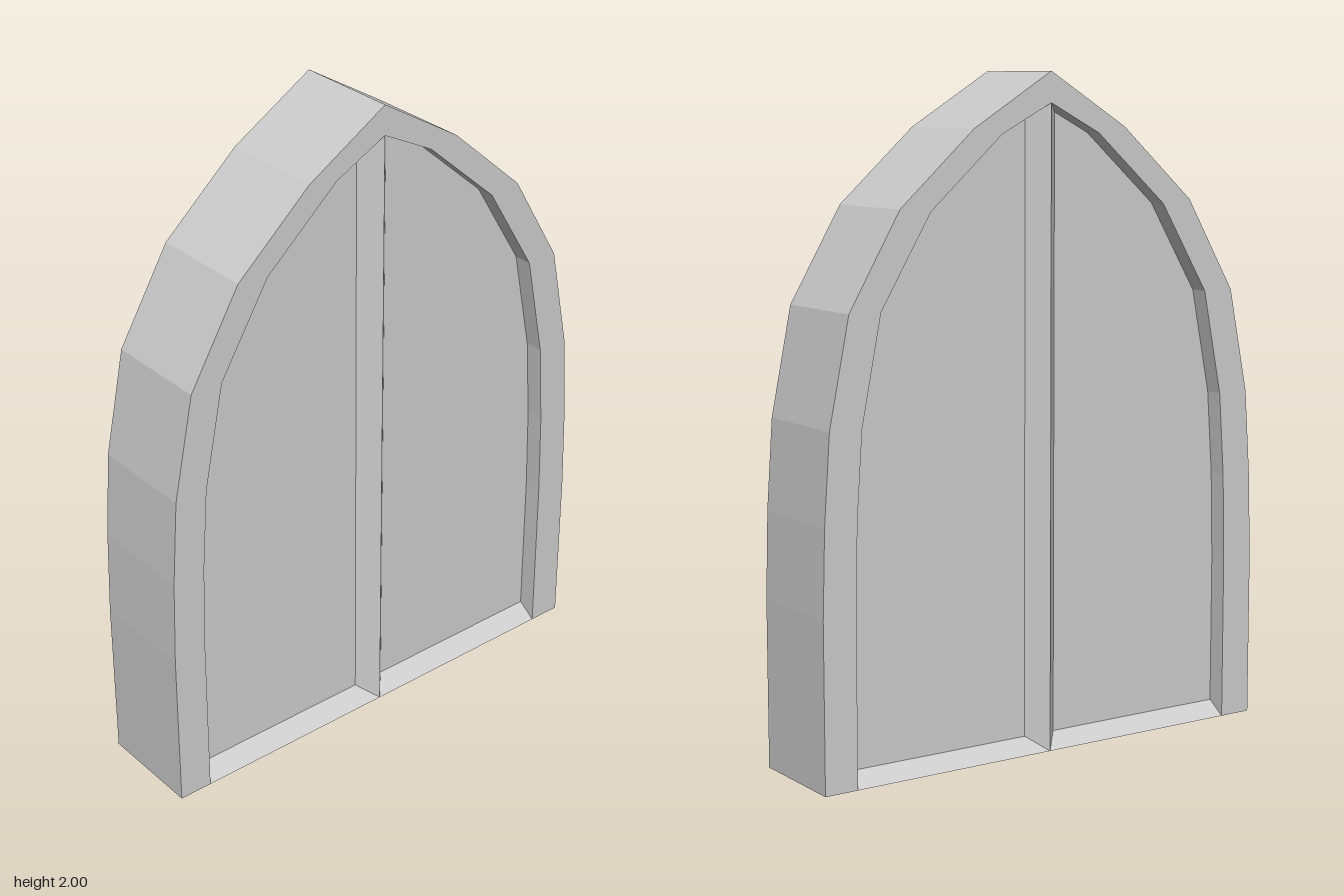
import * as THREE from 'three';

const HALF_DEPTH = 0.165;  // frame face
const PANEL_HALF = 0.107;  // recessed pane face
const SILL_HEIGHT = 0.04;
const INNER_X = 0.66;
const INNER_APEX = 1.91;

// Right halves of the pointed arches, springing line to apex
const OUTER = [[0.765, 0.5], [0.757, 0.76], [0.738, 1.025], [0.673, 1.343], [0.508, 1.622], [0.263, 1.84], [0, 2]];
const INNER = [[INNER_X, 0.5], [0.653, 0.77], [0.635, 1.024], [0.571, 1.343], [0.408, 1.612], [0.169, 1.823], [0, INNER_APEX]];

// Full arch from bottom right, over the apex, to bottom left
function archPoints(half, bottom) {
  const right = [[half[0][0], bottom], ...half];
  const left = right.slice(0, -1).reverse().map(([x, y]) => [-x, y]);
  return [...right, ...left];
}

// Prism of a polygon, centred on its extrusion axis
function prism(points, depth) {
  const shape = new THREE.Shape(points.map(([x, y]) => new THREE.Vector2(x, y)));
  const geometry = new THREE.ExtrudeGeometry(shape, { depth, bevelEnabled: false });
  return geometry.translate(0, 0, -depth / 2);
}

export function createModel() {
  const group = new THREE.Group();
  const material = new THREE.MeshStandardMaterial({ color: 0xcccccc, flatShading: true });
  const add = (name, geometry) => {
    const mesh = new THREE.Mesh(geometry, material);
    mesh.name = name;
    group.add(mesh);
  };

  // Arched band, open at the foot
  const band = [...archPoints(OUTER, 0), ...archPoints(INNER, 0).reverse()];
  add('archFrame', prism(band, HALF_DEPTH * 2));

  // Recessed pane, the same on both faces
  add('pane', prism(archPoints(INNER, SILL_HEIGHT), PANEL_HALF * 2));

  // Sill sloping down from the pane to both faces
  const sillSection = [
    [-HALF_DEPTH, 0], [HALF_DEPTH, 0], [PANEL_HALF, SILL_HEIGHT], [-PANEL_HALF, SILL_HEIGHT],
  ];
  add('sill', prism(sillSection, INNER_X * 2).rotateY(Math.PI / 2));

  // Central mullion with a sharp ridge on each face
  const mullionSection = [
    [0, -HALF_DEPTH], [0.052, -PANEL_HALF], [0.052, PANEL_HALF],
    [0, HALF_DEPTH], [-0.052, PANEL_HALF], [-0.052, -PANEL_HALF],
  ];
  add('mullion', prism(mullionSection, INNER_APEX).rotateX(-Math.PI / 2).translate(0, INNER_APEX / 2, 0));

  return group;
}
